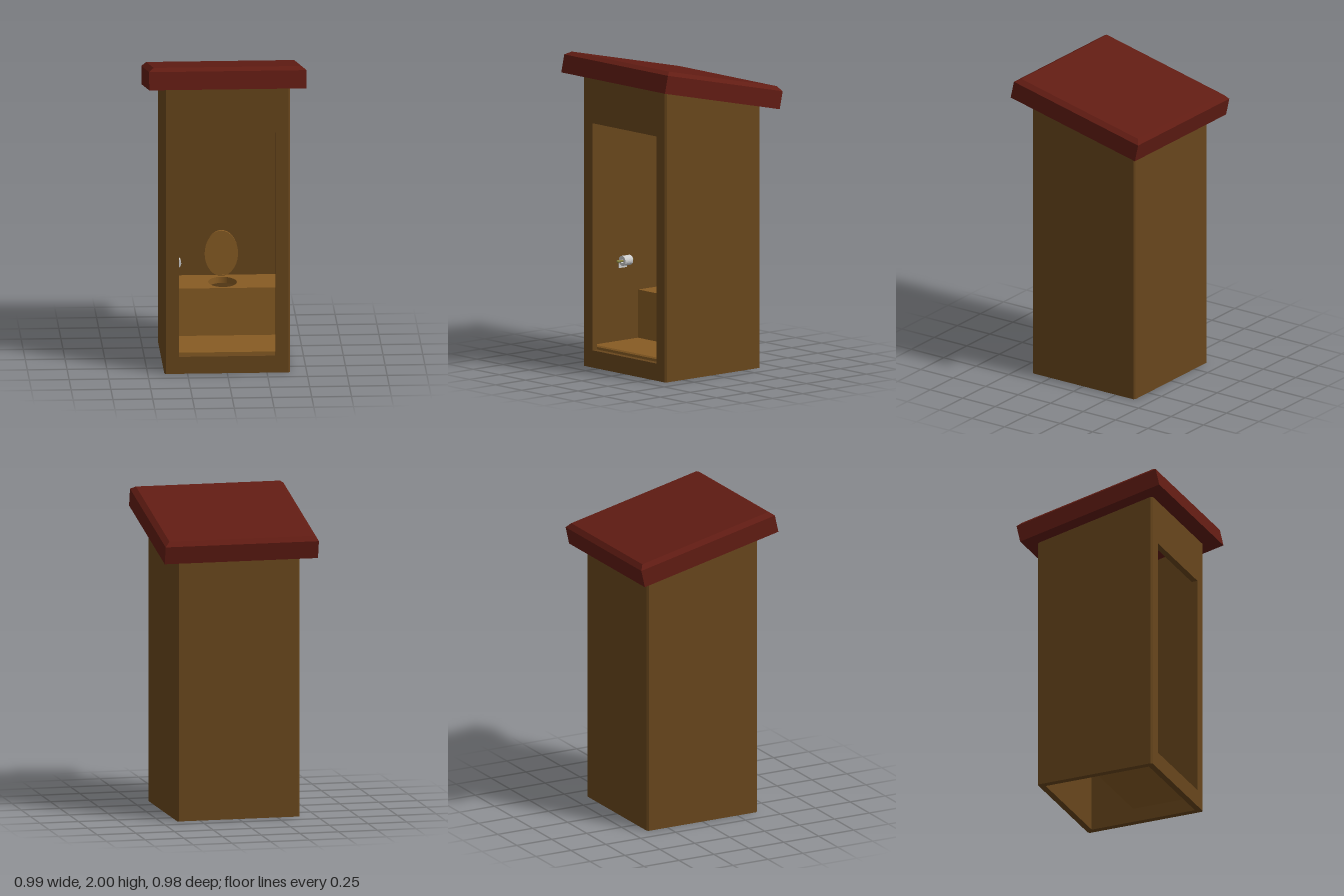
import * as THREE from 'three';

const mat = (color) => new THREE.MeshStandardMaterial({ color, flatShading: false });
const WALL = mat(0x68461c);
const BENCH = mat(0x875b23);
const ROOF = mat(0x611c13);
const PAPER = mat(0xcccccc);
const METAL = mat(0x8a8440);

const OUT = 0.395, IN = 0.355, C = 0.01; // outer and inner half widths, corner chamfer
const roofY = (z) => 1.765 + 0.224 * z;  // slope the walls are cut to

function add(parent, name, geometry, material, x = 0, y = 0, z = 0) {
  const mesh = new THREE.Mesh(geometry, material);
  mesh.name = name;
  mesh.position.set(x, y, z);
  parent.add(mesh);
  return mesh;
}

const polygon = (points) => new THREE.Shape(points.map(([x, y]) => new THREE.Vector2(x, y)));
const extrude = (shape, depth, curveSegments = 24) =>
  new THREE.ExtrudeGeometry(shape, { depth, bevelEnabled: false, curveSegments });

// Cut the top of a wall along the roof slope
function cutToRoof(geometry, above) {
  const p = geometry.attributes.position;
  for (let i = 0; i < p.count; i++) if (p.getY(i) > above) p.setY(i, roofY(p.getZ(i)));
  geometry.computeVertexNormals();
  return geometry;
}

// Slab with its upper rim chamfered on all four sides
function chamferedSlab(w, h, d, c) {
  const g = new THREE.BoxGeometry(w, h, d, 1, 2, 1).toNonIndexed();
  const p = g.attributes.position;
  for (let i = 0; i < p.count; i++) {
    if (p.getY(i) > h / 4) {
      p.setX(i, p.getX(i) - Math.sign(p.getX(i)) * c);
      p.setZ(i, p.getZ(i) - Math.sign(p.getZ(i)) * c);
    } else if (p.getY(i) > -h / 4) p.setY(i, h / 2 - c * 0.85);
  }
  g.computeVertexNormals();
  return g;
}

// Hollow paper roll standing on y = 0
function rollGeometry(r, h) {
  const shape = new THREE.Shape().absarc(0, 0, r, 0, Math.PI * 2);
  shape.holes.push(new THREE.Path().absarc(0, 0, r * 0.45, 0, Math.PI * 2, true));
  return extrude(shape, h, 12).rotateX(-Math.PI / 2);
}

function createWalls() {
  const walls = new THREE.Group();
  walls.name = 'walls';
  // side and back walls as one U-shaped footprint (shape y is -z)
  const footprint = polygon([
    [-OUT, -OUT + C], [-OUT + C, -OUT], [-IN, -OUT], [-IN, IN], [IN, IN], [IN, -OUT],
    [OUT - C, -OUT], [OUT, -OUT + C], [OUT, OUT - C], [OUT - C, OUT], [-OUT + C, OUT], [-OUT, OUT - C],
  ]);
  add(walls, 'sideAndBackWalls', cutToRoof(extrude(footprint, 1.7).rotateX(-Math.PI / 2), 1), WALL);
  // front wall with doorway
  const front = polygon([[-IN, 0], [IN, 0], [IN, 1.8], [-IN, 1.8]]);
  front.holes.push(polygon([[-0.305, 0.11], [-0.305, 1.56], [0.305, 1.56], [0.305, 0.11]]));
  add(walls, 'frontWall', cutToRoof(extrude(front, OUT - IN).translate(0, 0, IN), 1.7), WALL);
  return walls;
}

function createBench() {
  const bench = new THREE.Group();
  bench.name = 'bench';
  add(bench, 'benchFront', new THREE.BoxGeometry(IN * 2, 0.31, 0.04), BENCH, 0, 0.245, -0.05);
  // seat board with oval hole
  const board = polygon([[-IN, 0.03], [IN, 0.03], [IN, IN], [-IN, IN]]);
  board.holes.push(new THREE.Path().absellipse(0, 0.18, 0.09, 0.125, 0, Math.PI * 2, true));
  add(bench, 'seatBoard', extrude(board, 0.04).rotateX(-Math.PI / 2), BENCH, 0, 0.4, 0);
  // raised oval lid and its hinge
  const lid = new THREE.CylinderGeometry(1, 1, 0.02, 40).rotateX(Math.PI / 2).scale(0.105, 0.147, 1);
  add(bench, 'lid', lid, BENCH, 0, 0.587, -0.335);
  add(bench, 'lidHinge', new THREE.BoxGeometry(0.04, 0.012, 0.025), BENCH, 0, 0.445, -0.335);
  return bench;
}

function createPaper() {
  const paper = new THREE.Group();
  paper.name = 'paperRolls';
  // spare rolls on the bench
  for (const [x, z] of [[-0.303, -0.25], [-0.32, -0.32]])
    add(paper, 'spareRoll', rollGeometry(0.032, 0.065), PAPER, x, 0.44, z);
  // roll on the wall, with its loose end hanging down
  add(paper, 'hangingRoll', rollGeometry(0.032, 0.065).rotateX(Math.PI / 2), PAPER, -0.308, 0.65, 0.08);
  add(paper, 'looseSheet', new THREE.BoxGeometry(0.004, 0.05, 0.065), PAPER, -0.338, 0.625, 0.1125);
  // bent wire holder
  const wire = new THREE.CatmullRomCurve3([
    [-0.36, 0.65, 0.05], [-0.32, 0.65, 0.05], [-0.308, 0.65, 0.062], [-0.308, 0.65, 0.18],
  ].map((v) => new THREE.Vector3(...v)));
  add(paper, 'rollHolder', new THREE.TubeGeometry(wire, 24, 0.007, 8), METAL);
  add(paper, 'holderTip', new THREE.SphereGeometry(0.01, 12, 8), METAL, -0.308, 0.65, 0.18);
  return paper;
}

export function createModel() {
  const model = new THREE.Group();
  model.name = 'outhouse';
  model.add(createWalls(), createBench(), createPaper());

  // raised floor in front of the bench, open pit behind
  add(model, 'floor', chamferedSlab(IN * 2, 0.045, 0.385, 0.01), BENCH, 0, 0.1125, 0.1625);

  // sloping roof
  const roof = add(model, 'roof', chamferedSlab(0.99, 0.14, 0.98, 0.03), ROOF, 0, 1.831, -0.005);
  roof.rotation.x = -0.22;
  return model;
}
